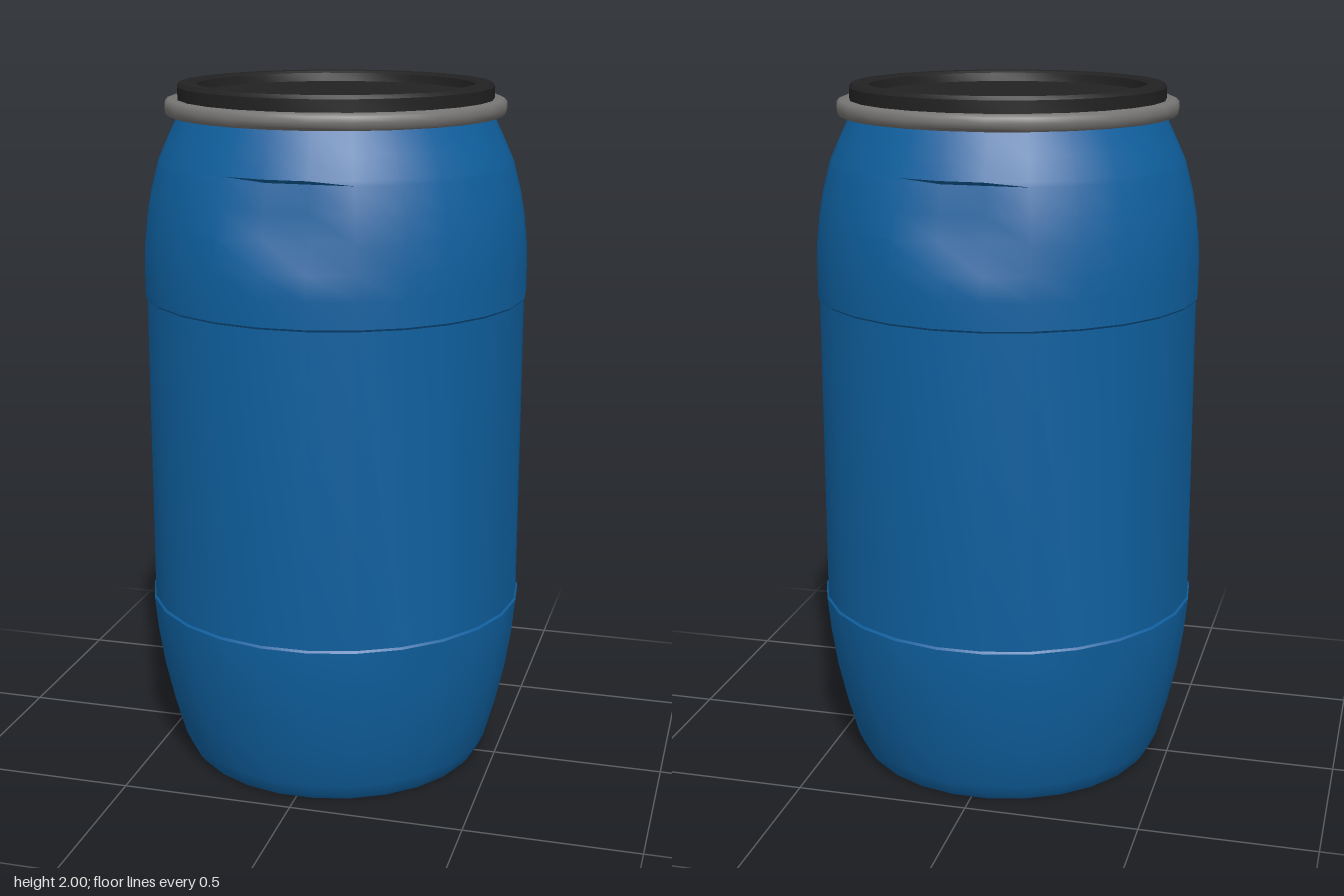
import * as THREE from 'three';
import { toCreasedNormals } from 'three/addons/utils/BufferGeometryUtils.js';

const SIDES = 26;
const STEP = (Math.PI * 2) / SIDES;

const blue = new THREE.MeshStandardMaterial({ color: 0x0f609f });
blue.name = 'blue plastic';
const black = new THREE.MeshStandardMaterial({ color: 0x222222 });
black.name = 'black lid';
const grey = new THREE.MeshStandardMaterial({ color: 0x777573 });
grey.name = 'grey metal';

// Revolve a [radius, height] profile; an optional rule moves the vertices
function turned(name, profile, material, crease, rule) {
  const points = profile.map(([r, y]) => new THREE.Vector2(r, y));
  const geometry = new THREE.LatheGeometry(points, SIDES, Math.PI / 2);
  if (rule) rule(geometry.attributes.position);
  const mesh = new THREE.Mesh(toCreasedNormals(geometry, crease), material);
  mesh.name = name;
  return mesh;
}

// Hand grips front and back: the middle columns are pressed in to a flat chord
function pressGrips(position) {
  for (let i = 0; i < position.count; i++) {
    const x = position.getX(i), y = position.getY(i), z = position.getZ(i);
    if (Math.abs(x) < 0.09 && y > 1.6 && y < 1.78) {
      const r = Math.hypot(x, z);
      position.setZ(i, Math.sign(z) * r * Math.cos(STEP * 1.5));
    }
  }
}

export function createModel() {
  const model = new THREE.Group();
  model.name = 'barrel';

  // Drum with dished base, slightly inset wall and sloping shoulder
  model.add(turned('drumBody', [
    [0, 0.045], [0.35, 0.045], [0.375, 0.03], [0.40, 0.006], [0.415, 0],
    [0.435, 0.002], [0.449, 0.02], [0.465, 0.055], [0.497, 0.17], [0.524, 0.29],
    [0.541, 0.4], [0.551, 0.5], [0.546, 0.506], [0.546, 1.4], [0.551, 1.406],
    [0.551, 1.48], [0.549, 1.547], [0.54, 1.63], [0.527, 1.7], [0.507, 1.775],
    [0.503, 1.787], [0.477, 1.845], [0.441, 1.92],
  ], blue, 0.55, pressGrips));

  // Clamping ring with rounded edges
  model.add(turned('clampRing', [
    [0.43, 1.912], [0.474, 1.912], [0.482, 1.92], [0.484, 1.934],
    [0.482, 1.948], [0.474, 1.956], [0.43, 1.956],
  ], grey, 0.9));

  // Lid with raised rim and sunken centre
  model.add(turned('lid', [
    [0.447, 1.95], [0.447, 1.99], [0.438, 2.0], [0.398, 2.0],
    [0.39, 1.994], [0.385, 1.97], [0, 1.97],
  ], black, 0.6));

  return model;
}
